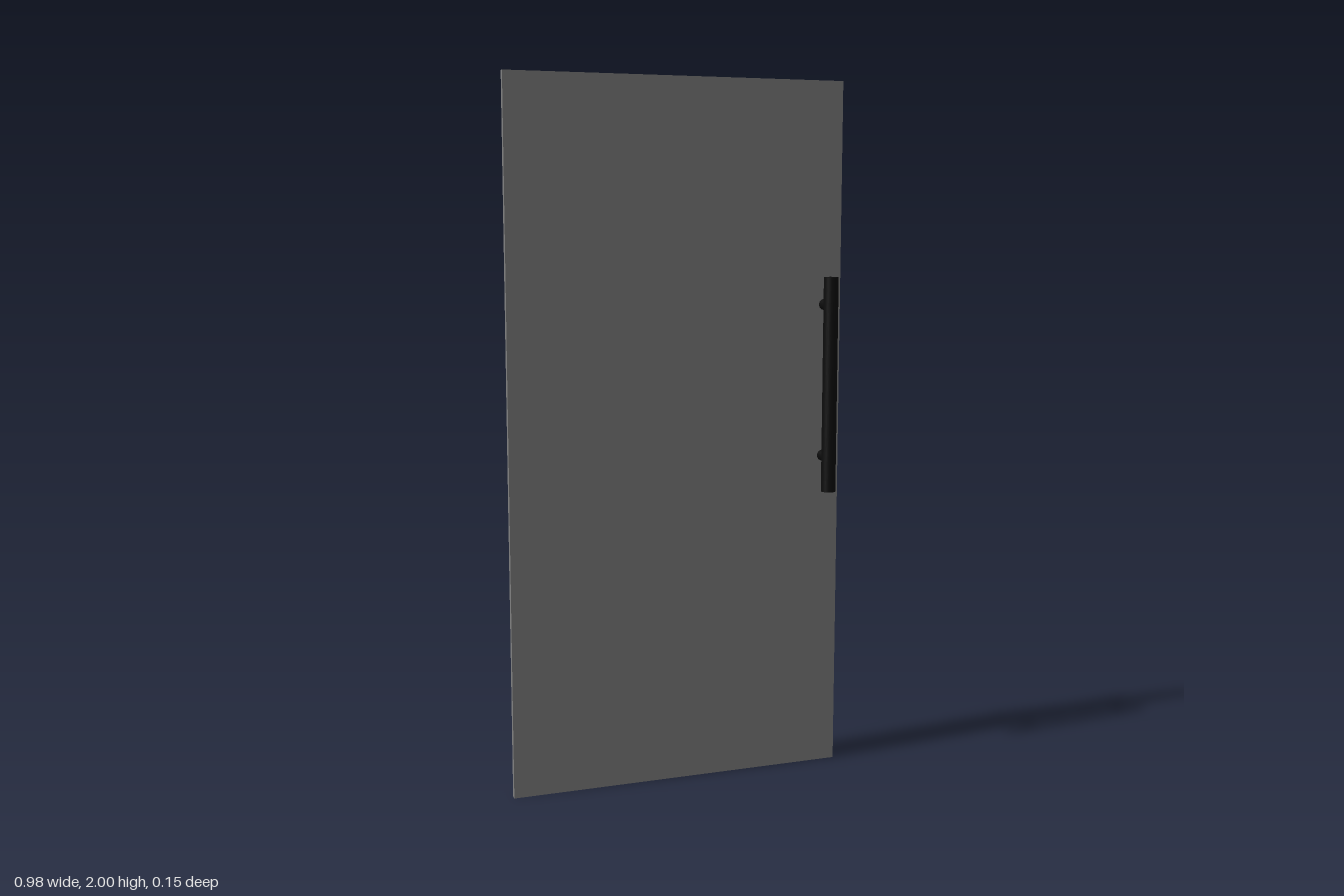
import * as THREE from 'three';

export function createModel() {
  const model = new THREE.Group();
  model.name = 'door';
  const panelMaterial = new THREE.MeshStandardMaterial({ color: 0x808080 });
  const handleMaterial = new THREE.MeshStandardMaterial({ color: 0x0d0d0d });

  const thickness = 0.016;
  const handleX = 0.442, handleZ = 0.054;
  const handleBottom = 0.83, handleTop = 1.45;

  // Flat door panel
  const panel = new THREE.Mesh(new THREE.BoxGeometry(0.984, 2, thickness), panelMaterial);
  panel.name = 'doorPanel';
  panel.position.y = 1;
  model.add(panel);

  // Pull handle on each face: upright bar on two round posts
  const barGeometry = new THREE.CylinderGeometry(0.021, 0.021, handleTop - handleBottom, 32);
  const postLength = handleZ - thickness / 2;
  const postGeometry = new THREE.CylinderGeometry(0.016, 0.016, postLength, 24).rotateX(Math.PI / 2);

  for (const side of [1, -1]) {
    const handle = new THREE.Group();
    handle.name = side > 0 ? 'frontHandle' : 'backHandle';

    const bar = new THREE.Mesh(barGeometry, handleMaterial);
    bar.name = 'handleBar';
    bar.position.set(handleX, (handleTop + handleBottom) / 2, side * handleZ);
    handle.add(bar);

    for (const y of [0.93, 1.37]) {
      const post = new THREE.Mesh(postGeometry, handleMaterial);
      post.name = 'handlePost';
      post.position.set(handleX, y, side * (thickness / 2 + postLength / 2));
      handle.add(post);
    }
    model.add(handle);
  }
  return model;
}
